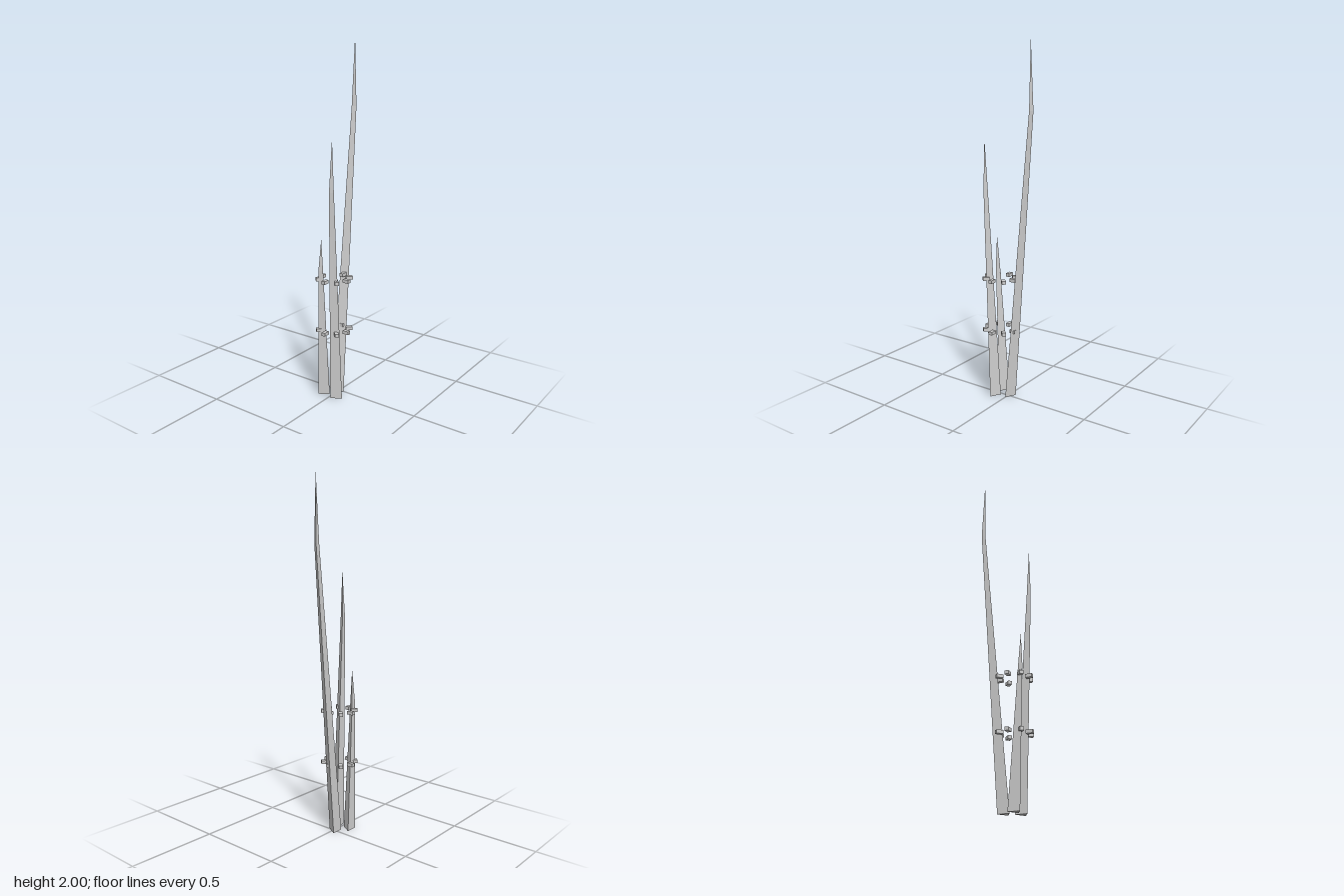
import * as THREE from 'three';

const material = new THREE.MeshStandardMaterial({ color: 0xcccccc, flatShading: true });

// Three-sided section: back-left, back-right and front corners around a centre
function section([x, y, z], halfWidth, halfDepth) {
  return [
    [x - halfWidth, y, z - halfDepth],
    [x + halfWidth, y, z - halfDepth],
    [x, y, z + halfDepth],
  ];
}

// Tapered leaning shard: triangular base, smaller triangular shoulder, pointed tip
function createShard(name, base, shoulder, tip) {
  const low = section(base, 0.033, 0.029);
  const high = section(shoulder, 0.012, 0.0115);
  const points = [...low];
  for (let i = 0; i < 3; i++) {
    const j = (i + 1) % 3;
    points.push(low[i], high[i], high[j], low[i], high[j], low[j]);
    points.push(high[i], tip, high[j]);
  }
  const geometry = new THREE.BufferGeometry();
  geometry.setAttribute('position', new THREE.Float32BufferAttribute(points.flat(), 3));
  geometry.computeVertexNormals();
  const mesh = new THREE.Mesh(geometry, material);
  mesh.name = name;
  return mesh;
}

// Ring of eight small blocks pointing outward
function createBlockRing(name, y) {
  const ring = new THREE.Group();
  ring.name = name;
  ring.position.set(-0.05, y, 0);
  const geometry = new THREE.BoxGeometry(0.037, 0.019, 0.022);
  for (let i = 0; i < 8; i++) {
    const angle = (i * Math.PI) / 4;
    const block = new THREE.Mesh(geometry, material);
    block.name = 'ringBlock';
    block.position.set(Math.cos(angle) * 0.084, 0, Math.sin(angle) * 0.084);
    block.rotation.y = -angle;
    ring.add(block);
  }
  return ring;
}

export function createModel() {
  const model = new THREE.Group();
  model.name = 'shardCluster';
  model.add(
    createShard('tallShard', [0, 0, 0], [0.14, 1.63, 0], [0.14, 2, 0]),
    createShard('middleShard', [-0.075, 0, 0.043], [-0.126, 1.2, 0.044], [-0.126, 1.48, 0.044]),
    createShard('shortShard', [-0.075, 0, -0.044], [-0.108, 0.75, -0.044], [-0.108, 0.93, -0.044]),
    createBlockRing('lowerRing', 0.4),
    createBlockRing('upperRing', 0.7),
  );
  return model;
}
